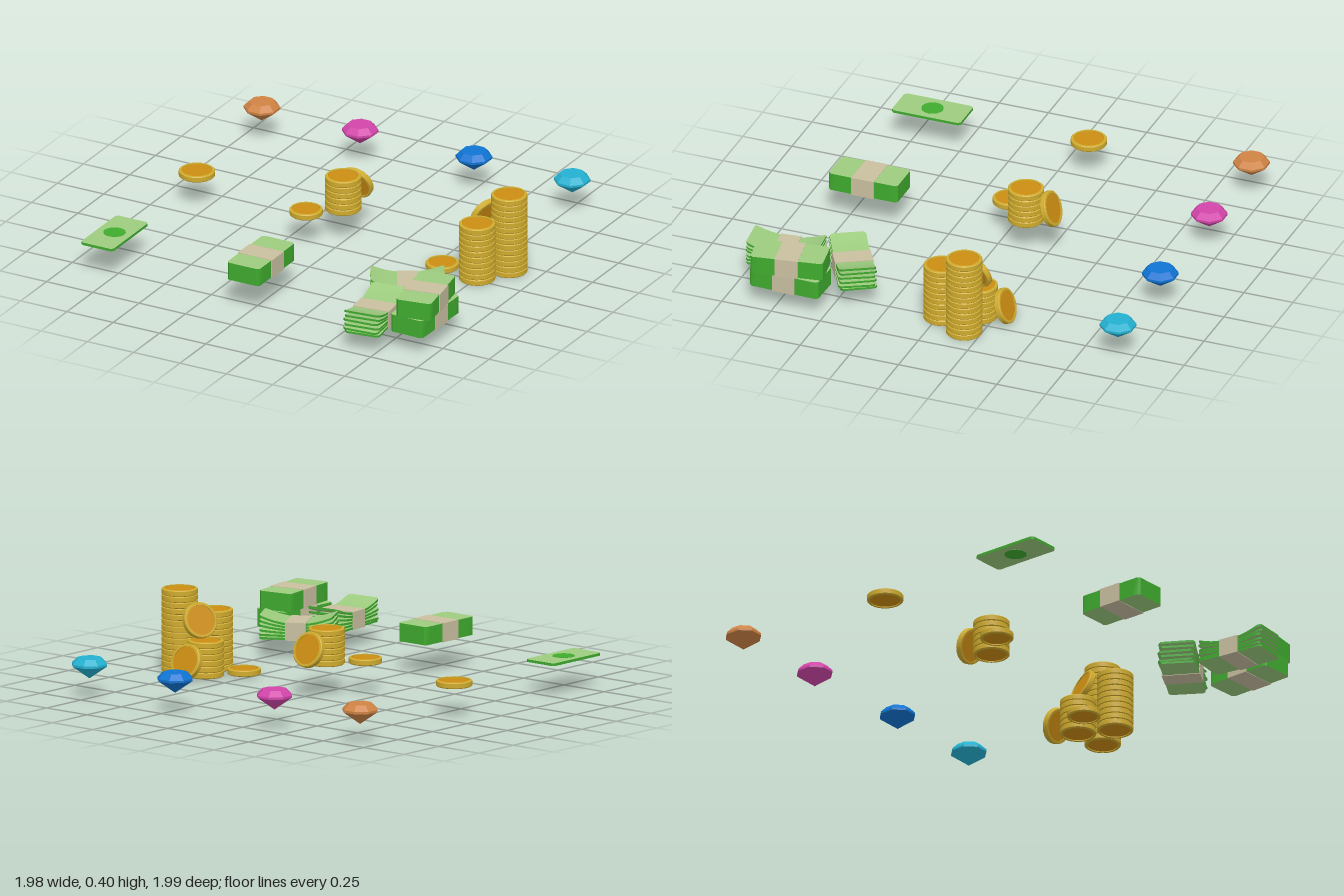
import * as THREE from 'three';
import { toCreasedNormals } from 'three/addons/utils/BufferGeometryUtils.js';

const paint = (name, color) => {
  const m = new THREE.MeshStandardMaterial({ color });
  m.name = name;
  return m;
};

export function createModel() {
  const model = new THREE.Group();
  model.name = 'treasure';
  const gold = paint('gold rim', 0xcfab2e);
  const face = paint('coin face', 0xcc8d12);
  const green = paint('bill green', 0x3fab2e);
  const pale = paint('bill pale green', 0x9ccb7e);
  const paper = paint('paper band', 0xc9bfa0);

  const add = (parent, name, geo, mat, x = 0, y = 0, z = 0) => {
    const m = new THREE.Mesh(geo, mat);
    m.name = name;
    m.position.set(x, y, z);
    parent.add(m);
    return m;
  };
  const group = (name, x, y, z, turn = 0) => {
    const g = new THREE.Group();
    g.name = name;
    g.position.set(x, y, z);
    g.rotation.y = turn;
    model.add(g);
    return g;
  };

  // Gems: eight-sided brilliant cut
  const gemProfile = [[0, 0], [0.087, 0.062], [0.087, 0.073], [0.06, 0.1], [0, 0.1]]
    .map(([x, y]) => new THREE.Vector2(x, y));
  const gemGeo = new THREE.LatheGeometry(gemProfile, 8).rotateY(Math.PI / 8).toNonIndexed();
  gemGeo.computeVertexNormals();
  [['orange', 0xcf8344, -0.91], ['pink', 0xd145a9, -0.38], ['blue', 0x0f74d2, 0.235], ['cyan', 0x23b1d0, 0.765]]
    .forEach(([name, color, x]) => {
      add(model, name + 'Gem', gemGeo, paint('gem ' + name, color), x, 0.09, -0.92);
    });

  // Coins: bevelled rim with a sunken disc on both faces
  const R = 0.086, H = 0.029, IN = 0.072;
  const rimHalf = [[IN, 0.009], [IN, H / 2], [R - 0.004, H / 2], [R, H / 2 - 0.004]];
  const rimProfile = [...rimHalf.map(([x, y]) => [x, -y]), ...rimHalf.slice().reverse()]
    .map(([x, y]) => new THREE.Vector2(x, y));
  const rimGeo = toCreasedNormals(new THREE.LatheGeometry(rimProfile, 28), 0.5);
  const discGeo = new THREE.CylinderGeometry(IN, IN, 0.02, 28);

  const coin = (parent, x, y, z, scale = 1) => {
    const g = new THREE.Group();
    g.name = 'coin';
    g.position.set(x, y, z);
    g.scale.set(scale, 1, scale);
    add(g, 'coinRim', rimGeo, gold);
    add(g, 'coinFace', discGeo, face);
    parent.add(g);
    return g;
  };
  const coinStack = (name, x, y, z, count, pitch = H) => {
    const g = group(name, x, y, z);
    for (let i = 0; i < count; i++) coin(g, 0, H / 2 + i * pitch, 0);
  };
  // Propped coin whose outer face looks along (nx, nz) and slightly up
  const leaningCoin = (x, y, z, nx, nz, tilt = 0.36) => {
    const c = coin(model, x, y, z);
    c.name = 'leaningCoin';
    const n = new THREE.Vector3(nx, 0, nz).normalize().multiplyScalar(Math.cos(tilt));
    n.y = Math.sin(tilt);
    c.quaternion.setFromUnitVectors(new THREE.Vector3(0, 1, 0), n);
  };

  coin(model, -0.82, 0.155, -0.13).name = 'singleCoin';

  coinStack('smallCoinStack', -0.03, 0.143, -0.13, 6);
  coin(model, -0.155, 0.157, 0.005, 0.92).name = 'looseCoin';
  leaningCoin(-0.03, 0.229, -0.258, 0, -1);

  coinStack('tallCoinStack', 0.845, 0, -0.17, 14, 0.0286);
  coinStack('middleCoinStack', 0.755, 0, -0.02, 10);
  coinStack('lowCoinStack', 0.675, 0, -0.18, 6);
  coin(model, 0.553, 0.0195, -0.045, 0.92).name = 'looseCoin';
  leaningCoin(0.68, 0.087, -0.313, 0, -1);
  leaningCoin(0.712, 0.262, -0.18, -0.93, -0.37);

  // Paper money: a box with clipped corners, ends lifted by `bend`
  const W = 0.175, L = 0.35, CLIP = 0.012;
  const billMats = [green, green, pale, pale, green, green];
  const billGeo = (h, bend = 0) => {
    const geo = new THREE.BoxGeometry(W, h, 12, 1, 1, 12);
    const p = geo.attributes.position;
    for (let i = 0; i < p.count; i++) {
      const u = Math.round(p.getZ(i)), a = Math.abs(u);
      const z = a === 6 ? L / 2 : (a / 5) * (L / 2 - CLIP);
      if (a === 6) p.setX(i, p.getX(i) * (1 - 2 * CLIP / W));
      p.setZ(i, Math.sign(u) * z);
      p.setY(i, p.getY(i) + bend * Math.pow(z / (L / 2), 2));
    }
    geo.computeVertexNormals();
    return geo;
  };

  // Single bill with a round seal on each side
  const bill = group('singleBill', -0.82, 0.156, 0.665);
  add(bill, 'billSheet', billGeo(0.013), billMats);
  add(bill, 'billSeal', new THREE.CylinderGeometry(0.053, 0.053, 0.016, 24), green);

  // Neat banded bundles
  const bundleGeo = billGeo(0.088);
  const bandGeo = new THREE.BoxGeometry(W + 0.01, 0.092, 0.113);
  const bundle = (name, x, y, z, turn = 0) => {
    const g = group(name, x, y, z, turn);
    add(g, 'bundleBills', bundleGeo, billMats);
    add(g, 'bundleBand', bandGeo, paper);
  };
  bundle('singleBundle', -0.03, 0.19, 0.665);
  bundle('lowerBundle', 0.875, 0.136, 0.7, -0.02);
  bundle('upperBundle', 0.88, 0.226, 0.7, 0.165);

  // Loose bundles: separate sheets fanned a little, the upper ones curling up
  const looseBundle = (name, x, z, turn) => {
    const g = group(name, x, 0.09, z, turn);
    for (let i = 0; i < 6; i++) {
      const bend = i < 2 ? 0 : (i - 1) * 0.0095;
      const sheet = add(g, 'looseBill', billGeo(0.0105, bend), billMats, 0, 0.006 + i * 0.0135, 0);
      sheet.rotation.y = [0.03, -0.025, 0.015, -0.03, 0.025, 0][i];
    }
    add(g, 'looseBand', new THREE.BoxGeometry(W + 0.008, 0.087, 0.1), paper, 0, 0.0415, 0);
  };
  looseBundle('slantedBundle', 0.655, 0.473, Math.PI * 2 / 3);
  looseBundle('frontBundle', 0.665, 0.807, 0.11);

  return model;
}
